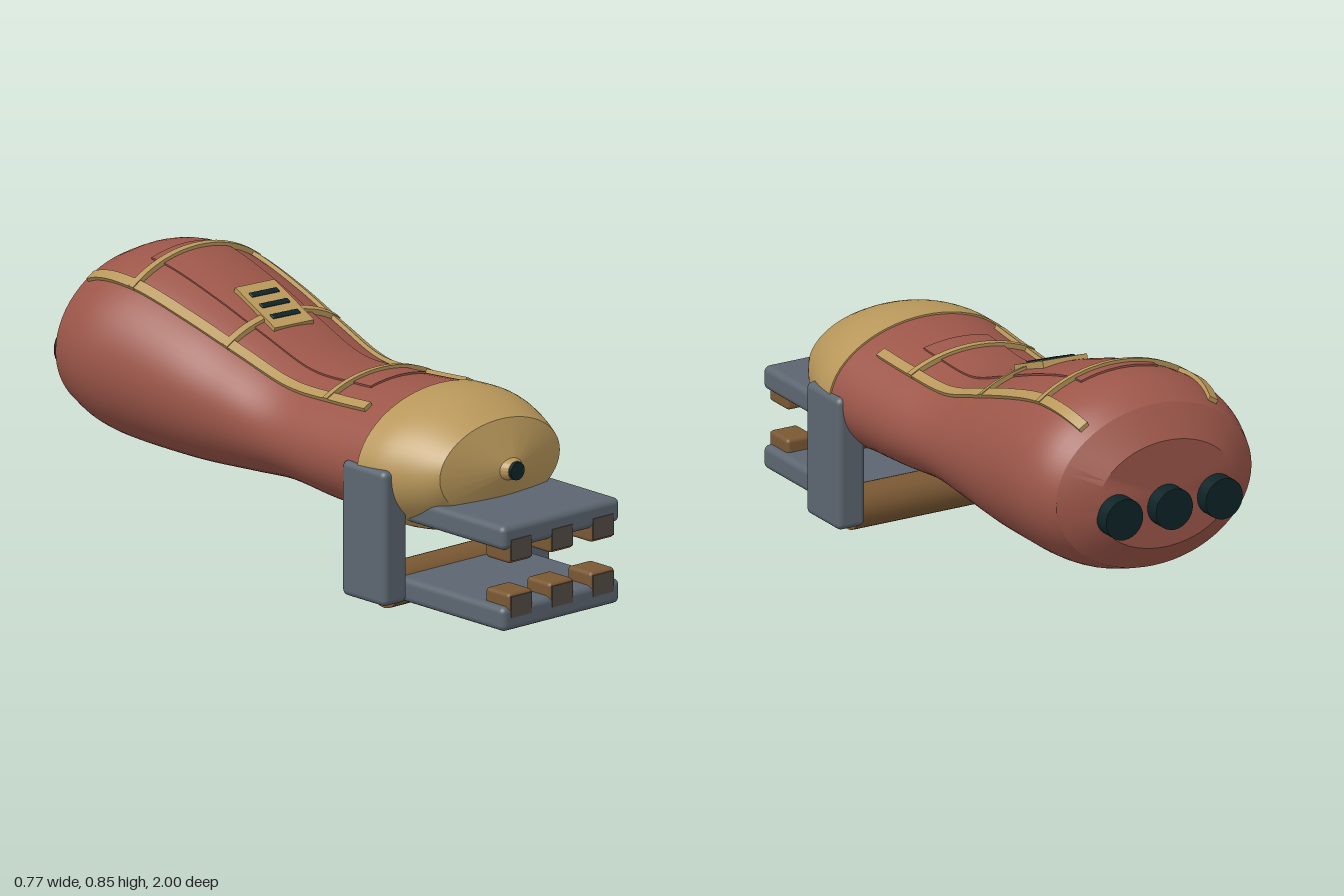
import * as THREE from 'three';
import { toCreasedNormals } from 'three/addons/utils/BufferGeometryUtils.js';
import { RoundedBoxGeometry } from 'three/addons/geometries/RoundedBoxGeometry.js';

const paint = (name, color) => Object.assign(new THREE.MeshStandardMaterial({ color }), { name });

// Stations along the axis: z, half width, top y, bottom y
const BODY = [
  [-0.88, 0.343, 0.785, 0.268], [-0.8, 0.372, 0.822, 0.24], [-0.72, 0.383, 0.836, 0.227],
  [-0.6, 0.376, 0.825, 0.221], [-0.4, 0.355, 0.765, 0.222], [-0.2, 0.325, 0.69, 0.235],
  [0, 0.303, 0.622, 0.248], [0.2, 0.314, 0.624, 0.232], [0.46, 0.331, 0.643, 0.22],
];
const REAR = [[-0.95, 0.24, 0.69, 0.35], [-0.88, 0.343, 0.785, 0.268]];
const NOSE = [
  [0.45, 0.336, 0.648, 0.215], [0.53, 0.328, 0.65, 0.217], [0.6, 0.305, 0.641, 0.23],
  [0.67, 0.275, 0.617, 0.262], [0.72, 0.245, 0.593, 0.305],
];
const NOSE_FACE = [[0.72, 0.245, 0.593, 0.305], [0.77, 0.046, 0.482, 0.414], [0.79, 0.03, 0.476, 0.418]];

// Smooth interpolation of a station table at z
function station(table, z) {
  const last = table.length - 1;
  let i = 0;
  while (i < last - 1 && z > table[i + 1][0]) i++;
  const a = table[i], b = table[i + 1], d = b[0] - a[0];
  const t = THREE.MathUtils.clamp((z - a[0]) / d, 0, 1), t2 = t * t, t3 = t2 * t;
  const slope = (k, c) => {
    const p = table[Math.max(k - 1, 0)], q = table[Math.min(k + 1, last)];
    return (q[c] - p[c]) / (q[0] - p[0]);
  };
  const at = (c) => (2 * t3 - 3 * t2 + 1) * a[c] + (t3 - 2 * t2 + t) * d * slope(i, c)
    + (3 * t2 - 2 * t3) * b[c] + (t3 - t2) * d * slope(i + 1, c);
  const top = at(2), bottom = at(3);
  return { w: at(1), cy: (top + bottom) / 2, h: (top - bottom) / 2 };
}

// Skin closed rings of points; rings run counter-clockwise seen from the far end
function loft(rings, caps = false) {
  const n = rings[0].length, pos = [], idx = [];
  rings.forEach((r) => r.forEach((p) => pos.push(p.x, p.y, p.z)));
  for (let i = 0; i < rings.length - 1; i++) {
    for (let j = 0; j < n; j++) {
      const a = i * n + j, b = i * n + (j + 1) % n;
      idx.push(a, b, a + n, b, b + n, a + n);
    }
  }
  if (caps) {
    [0, rings.length - 1].forEach((r) => {
      const c = pos.length / 3, m = new THREE.Vector3();
      rings[r].forEach((p) => m.addScaledVector(p, 1 / n));
      pos.push(m.x, m.y, m.z);
      for (let j = 0; j < n; j++) {
        const a = r * n + j, b = r * n + (j + 1) % n;
        if (r === 0) idx.push(c, b, a); else idx.push(c, a, b);
      }
    });
  }
  const g = new THREE.BufferGeometry();
  g.setAttribute('position', new THREE.Float32BufferAttribute(pos, 3));
  g.setIndex(idx);
  g.computeVertexNormals();
  return g;
}

// Elliptical hull through a station table
function hull(table, steps, smooth = true) {
  const rings = [], sides = 64;
  const add = (z, s) => rings.push(Array.from({ length: sides }, (_, j) => {
    const a = j / sides * Math.PI * 2;
    return new THREE.Vector3(s.w * Math.cos(a), s.cy + s.h * Math.sin(a), z);
  }));
  if (smooth) {
    for (let i = 0; i <= steps; i++) {
      const z = THREE.MathUtils.lerp(table[0][0], table[table.length - 1][0], i / steps);
      add(z, station(table, z));
    }
  } else table.forEach(([z, w, t, b]) => add(z, { w, cy: (t + b) / 2, h: (t - b) / 2 }));
  return toCreasedNormals(loft(rings, true), 0.6);
}

// Point above the upper body surface
function onBody(x, z, lift) {
  const { w, cy, h } = station(BODY, z);
  const y = h * Math.sqrt(Math.max(0, 1 - (x / w) ** 2));
  const n = new THREE.Vector2(x / (w * w), y / (h * h)).normalize();
  return new THREE.Vector3(x + n.x * lift, cy + y + n.y * lift, z);
}

// Slab wrapped on the body; map(u, v) gives [x, z], u along and v across
function wrap(map, lift, steps, across) {
  const rings = [];
  for (let i = 0; i <= steps; i++) {
    const ring = [];
    for (let j = 0; j <= across; j++) ring.push(onBody(...map(i / steps, j / across), lift));
    for (let j = across; j >= 0; j--) ring.push(onBody(...map(i / steps, j / across), -0.01));
    rings.push(ring);
  }
  return toCreasedNormals(loft(rings, true), 0.6);
}

export function createModel() {
  const red = paint('red shell', 0x9c5649);
  const gold = paint('gold trim', 0xb8975a);
  const steel = paint('steel grey', 0x5c6670);
  const brown = paint('brown', 0x7a5833);
  const pad = paint('dull brown pad', 0x564d47);
  const dark = paint('dark', 0x0e2427);

  const model = new THREE.Group();
  const add = (name, geometry, material, x = 0, y = 0, z = 0, parent = model) => {
    const mesh = new THREE.Mesh(geometry, material);
    mesh.name = name;
    mesh.position.set(x, y, z);
    parent.add(mesh);
    return mesh;
  };
  const { lerp } = THREE.MathUtils;

  // Body and nose
  add('body', hull(BODY, 56), red);
  add('rearBevel', hull(REAR, 1, false), red);
  add('nose', hull(NOSE, 16), gold);
  add('noseFace', hull(NOSE_FACE, 1, false), gold);
  const tip = new THREE.CylinderGeometry(0.028, 0.028, 0.03, 24).rotateX(Math.PI / 2);
  add('noseTip', tip, dark, 0, 0.447, 0.785);

  // Raised panel on the back
  add('backPanel', wrap((u, v) => {
    const z = lerp(-0.68, 0.27, u);
    return [lerp(0.35, -0.35, v) * station(BODY, z).w, z];
  }, 0.006, 40, 10), red);

  // Long straps and cross straps
  for (const side of [1, -1]) {
    add('longStrap', wrap((u, v) => {
      const z = lerp(-0.85, 0.36, u);
      return [side * 0.63 * station(BODY, z).w + lerp(0.014, -0.014, v), z];
    }, 0.013, 48, 1), gold);
  }
  for (const z of [-0.635, -0.25, 0.18]) {
    const reach = 0.63 * station(BODY, z).w + 0.014;
    add('crossStrap', wrap((u, v) => [lerp(-reach, reach, u), z + lerp(-0.01, 0.01, v)], 0.016, 16, 1), gold);
  }

  // Slotted badge
  const badge = new THREE.Group();
  badge.name = 'badge';
  badge.position.set(0, 0.724, -0.285);
  badge.rotation.set(0.38, -0.1, 0, 'YXZ');
  model.add(badge);
  add('badgePlate', new THREE.BoxGeometry(0.148, 0.03, 0.215), gold, 0, 0, 0, badge);
  for (const z of [-0.057, 0, 0.057]) {
    add('badgeSlot', new RoundedBoxGeometry(0.104, 0.008, 0.02, 2, 0.003), dark, 0, 0.016, z, badge);
  }

  // Rear nozzles
  for (const x of [-0.175, 0, 0.175]) {
    const nozzle = new THREE.CylinderGeometry(0.065, 0.065, 0.1, 28).rotateX(Math.PI / 2);
    add('nozzle', nozzle, dark, x, 0.485, -0.95);
  }

  // Side brackets
  for (const side of [1, -1]) {
    add('sideBracket', new RoundedBoxGeometry(0.098, 0.423, 0.195, 3, 0.02), steel, side * 0.293, 0.249, 0.482);
    const pin = new THREE.CylinderGeometry(0.006, 0.006, 0.02, 12).rotateZ(Math.PI / 2);
    add('rollerPin', pin, dark, side * 0.248, 0.025, 0.48);
  }

  // Jaws: roller, plate and three teeth each
  const jaws = [
    { name: 'upper', roller: 0.32, plate: 0.322, tooth: 0.278, pad: 0.283 },
    { name: 'lower', roller: 0.067, plate: 0.068, tooth: 0.11, pad: 0.105 },
  ];
  for (const jaw of jaws) {
    const roller = new THREE.CylinderGeometry(0.067, 0.067, 0.504, 32).rotateZ(Math.PI / 2);
    add(jaw.name + 'Roller', roller, brown, 0, jaw.roller, 0.48);
    add(jaw.name + 'Jaw', new RoundedBoxGeometry(0.48, 0.076, 0.52, 3, 0.02), steel, 0, jaw.plate, 0.737);
    for (const x of [-0.167, 0, 0.167]) {
      add(jaw.name + 'Tooth', new RoundedBoxGeometry(0.098, 0.074, 0.108, 2, 0.012), brown, x, jaw.tooth, 0.943);
      add(jaw.name + 'ToothPad', new THREE.BoxGeometry(0.084, 0.066, 0.006), pad, x, jaw.pad, 0.997);
    }
  }
  return model;
}
